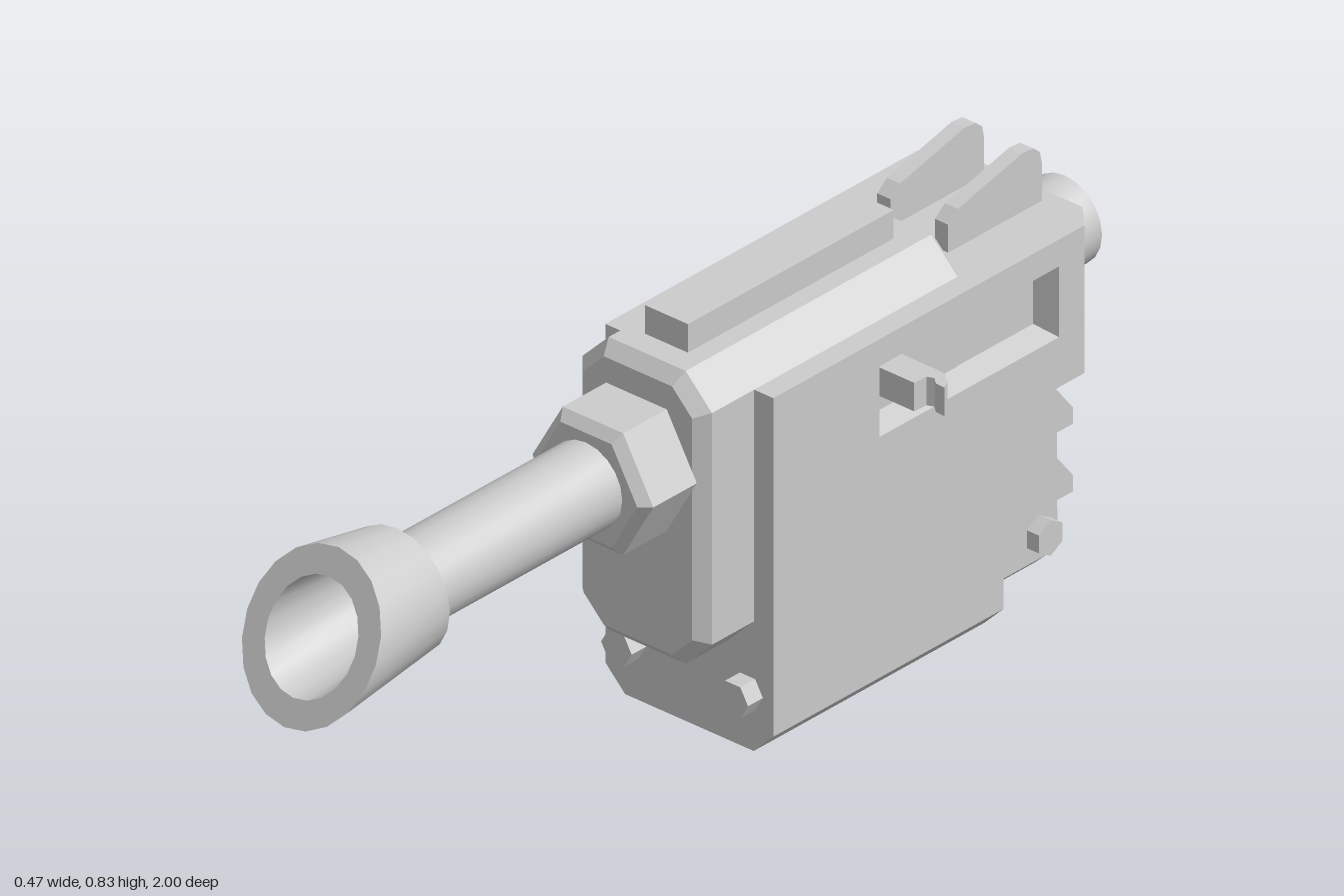
import * as THREE from 'three';
import { toCreasedNormals } from 'three/addons/utils/BufferGeometryUtils.js';

const CX = -0.046; // centre line of the body
const CY = 0.58;   // barrel axis height
const material = new THREE.MeshStandardMaterial({ color: 0xcccccc });

const toShape = (pts) => new THREE.Shape(pts.map(([a, b]) => new THREE.Vector2(a, b)));

function flat(geo) {
  const g = geo.index ? geo.toNonIndexed() : geo;
  g.computeVertexNormals();
  return g;
}

// Extrude a (z, y) outline across x, from x0 to x1
function acrossX(shape, x0, x1, bevel = 0) {
  const geo = new THREE.ExtrudeGeometry(shape, {
    depth: x1 - x0 - 2 * bevel, bevelEnabled: bevel > 0, bevelSize: bevel,
    bevelThickness: bevel, bevelOffset: -bevel, bevelSegments: 1, curveSegments: 5,
  });
  return geo.rotateY(-Math.PI / 2).translate(x1 - bevel, 0, 0);
}

// Extrude an (x, y) outline along z, from z0 to z1
function alongZ(shape, z0, z1, bevel = 0) {
  const geo = new THREE.ExtrudeGeometry(shape, {
    depth: z1 - z0 - 2 * bevel, bevelEnabled: bevel > 0, bevelSize: bevel,
    bevelThickness: bevel, bevelOffset: -bevel, bevelSegments: 1,
  });
  return geo.translate(0, 0, z0 + bevel);
}

// Turned part about the barrel axis, profile as (radius, z)
function turned(profile, sides = 20) {
  return new THREE.LatheGeometry(profile.map(([r, z]) => new THREE.Vector2(r, z)), sides)
    .rotateX(Math.PI / 2);
}

function hexShape(x, y, r) {
  const pts = [];
  for (let i = 0; i < 6; i++) {
    const a = (i * Math.PI) / 3;
    pts.push([x + r * Math.cos(a), y + r * Math.sin(a)]);
  }
  return toShape(pts);
}

export function createModel() {
  const group = new THREE.Group();
  const add = (name, geo) => {
    const mesh = new THREE.Mesh(geo, material);
    mesh.name = name;
    group.add(mesh);
    return mesh;
  };

  // Receiver: solid core between two side plates with recessed ports
  const outline = [[-0.88, 0.42], [-0.628, 0.42], [-0.628, 0], [-0.038, 0], [-0.038, 0.71], [-0.88, 0.71]];
  add('receiverCore', flat(acrossX(toShape(outline), CX - 0.147, CX + 0.147)));

  for (const side of [1, -1]) {
    const [za, zb] = side > 0 ? [-0.77, -0.31] : [-0.435, -0.105];
    const [ya, yb] = [0.518, 0.657];
    const shape = toShape(outline);
    shape.holes.push(toShape([[za, ya], [za, yb], [zb, yb], [zb, ya]]));
    const inner = CX + side * 0.147;
    const outer = CX + side * 0.192;
    const geo = acrossX(shape, Math.min(inner, outer), Math.max(inner, outer));
    const p = geo.attributes.position;
    for (let i = 0; i < p.count; i++) {
      const y = p.getY(i), z = p.getZ(i);
      if (Math.abs(p.getX(i) - outer) < 0.001) {
        // chamfer the bottom and rear outer edges
        if (y < 0.01) p.setY(i, 0.045);
        if (z < -0.87) p.setZ(i, -0.835);
      } else if (y > 0.5 && y < 0.68 && z > za - 0.01 && z < zb + 0.01) {
        // slope the port walls inward
        p.setY(i, y + (y > CY ? -0.016 : 0.016));
        p.setZ(i, z + (z > (za + zb) / 2 ? -0.016 : 0.016));
      }
    }
    add(side > 0 ? 'leftSidePlate' : 'rightSidePlate', flat(geo));
  }

  // Bolt visible inside the right port
  const bolt = new THREE.CylinderGeometry(0.06, 0.06, 0.29, 20).rotateX(Math.PI / 2);
  add('portBolt', toCreasedNormals(bolt, 0.6)).position.set(CX - 0.112, CY + 0.006, -0.27);

  // Octagonal barrel housing, bevelled at both ends
  const [hx, ch] = [0.148, 0.06];
  const housing = toShape([
    [CX - hx, 0.195 + ch], [CX - hx + ch, 0.195], [CX + hx - ch, 0.195], [CX + hx, 0.195 + ch],
    [CX + hx, 0.77 - ch], [CX + hx - ch, 0.77], [CX - hx + ch, 0.77], [CX - hx, 0.77 - ch],
  ]);
  add('barrelHousing', flat(alongZ(housing, -0.583, 0.094, 0.024)));

  // Top rail
  add('topRail', new THREE.BoxGeometry(0.098, 0.08, 0.527)).position.set(CX, 0.786, -0.243);

  // Rear sight plates
  const sight = toShape([[-0.85, 0.69], [-0.61, 0.69], [-0.61, 0.765], [-0.635, 0.785],
    [-0.8, 0.824], [-0.828, 0.822], [-0.845, 0.808], [-0.85, 0.785]]);
  for (const side of [1, -1]) {
    const x = CX + side * 0.066;
    add('rearSight', flat(acrossX(sight, x - 0.015, x + 0.015)));
  }

  // Lower rear block with rounded corner
  const block = new THREE.Shape();
  block.moveTo(-0.6, 0.05);
  block.lineTo(-0.6, 0.44);
  block.lineTo(-0.83, 0.44);
  block.lineTo(-0.832, 0.09);
  block.quadraticCurveTo(-0.83, 0.05, -0.78, 0.05);
  add('rearBlock', flat(acrossX(block, CX - 0.147, CX + 0.147, 0.016)));

  // Wedge grips on the rear block
  for (const y of [0.273, 0.14]) {
    const wedge = toShape([[-0.82, y], [-0.82, y + 0.105], [-0.832, y + 0.097],
      [-0.884, y + 0.032], [-0.884, y]]);
    add('rearGrip', flat(acrossX(wedge, CX - 0.122, CX + 0.122)));
  }

  // Hex bolts on the front face and on the rear block
  for (const side of [1, -1]) {
    add('frontBolt', flat(alongZ(hexShape(CX + side * 0.133, 0.112, 0.035), -0.06, 0)));
    const sideBolt = new THREE.CylinderGeometry(0.035, 0.035, 0.06, 6).rotateZ(Math.PI / 2);
    sideBolt.rotateX(Math.PI / 2);
    add('sideBolt', flat(sideBolt)).position.set(CX + side * 0.145, 0.118, -0.768);
  }

  // Hooked charging lever, outline in (x, z) given thickness in y
  const lever = toShape([[0.09, 0.355], [0.185, 0.355], [0.187, 0.385], [0.2, 0.39], [0.214, 0.378],
    [0.235, 0.377], [0.225, 0.395], [0.205, 0.412], [0.185, 0.415], [0.09, 0.415]]);
  const leverGeo = new THREE.ExtrudeGeometry(lever, { depth: 0.056, bevelEnabled: false });
  add('chargingLever', flat(leverGeo.rotateX(-Math.PI / 2).translate(0, 0.564, 0)));

  // Barrel nut
  add('barrelNut', flat(alongZ(hexShape(CX, CY, 0.138), 0.08, 0.227, 0.018)));

  // Barrel
  const barrel = turned([[0, 0.05], [0.083, 0.05], [0.083, 0.715], [0, 0.715]]);
  add('barrel', toCreasedNormals(barrel, 0.6)).position.set(CX, CY, 0);

  // Flared muzzle with a slanted mouth
  const muzzle = turned([[0, 0.71], [0.12, 0.71], [0.147, 0.93], [0.099, 0.93], [0.081, 0.73], [0, 0.73]]);
  const mp = muzzle.attributes.position;
  for (let i = 0; i < mp.count; i++) {
    if (mp.getZ(i) > 0.9) mp.setZ(i, mp.getZ(i) - mp.getY(i) * 0.476);
  }
  add('muzzle', toCreasedNormals(muzzle, 0.6)).position.set(CX, CY, 0);

  // Rear knob with a necked groove
  const knob = turned([[0, -1], [0.085, -1], [0.085, -0.935], [0.07, -0.924], [0.07, -0.905],
    [0.076, -0.895], [0.076, -0.86], [0, -0.86]]);
  add('rearKnob', toCreasedNormals(knob, 0.5)).position.set(CX, CY, 0);

  return group;
}
